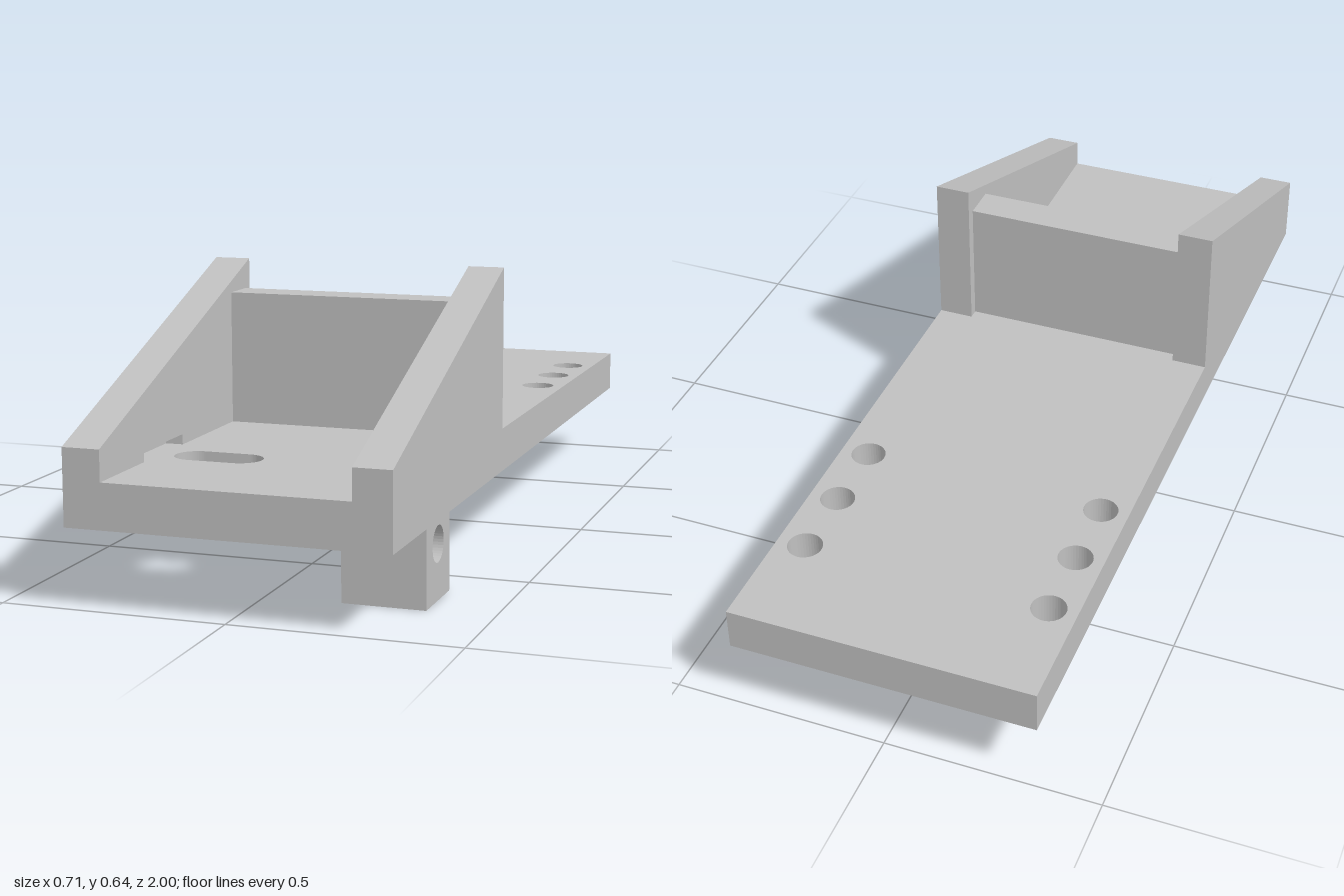
import * as THREE from 'three';

const grey = new THREE.MeshStandardMaterial({ color: 0xc0c0c0 });
grey.name = 'light grey';

const HALF = 0.354, INNER = 0.27;        // outer and inner half widths
const BASE = 0.172, FLOOR = 0.272;       // underside and top of the plate

function polygon(points) {
  return new THREE.Shape(points.map(([a, b]) => new THREE.Vector2(a, b)));
}

function roundHole(a, b, r) {
  return new THREE.Path().absarc(a, b, r, 0, Math.PI * 2, true);
}

function extrude(shape, depth) {
  return new THREE.ExtrudeGeometry(shape, { depth, bevelEnabled: false, curveSegments: 20 });
}

// Extrudes a (z, y) profile from x0 to x1
function acrossX(shape, x0, x1) {
  return extrude(shape, x1 - x0).rotateY(-Math.PI / 2).translate(x1, 0, 0);
}

function boxBetween(x0, x1, y0, y1, z0, z1) {
  return new THREE.BoxGeometry(x1 - x0, y1 - y0, z1 - z0)
    .translate((x0 + x1) / 2, (y0 + y1) / 2, (z0 + z1) / 2);
}

export function createModel() {
  const model = new THREE.Group();
  model.name = 'mountingBracket';
  const add = (name, geometry, parent = model) => {
    const mesh = new THREE.Mesh(geometry, grey);
    mesh.name = name;
    parent.add(mesh);
  };

  // Base plate with six screw holes and a slot (shape y is -z)
  const plate = polygon([[-HALF, -1], [HALF, -1], [HALF, 1], [-HALF, 1]]);
  for (const x of [-0.288, 0.288])
    for (const z of [-0.75, -0.58, -0.41]) plate.holes.push(roundHole(x, -z, 0.04));
  const slot = new THREE.Path();
  slot.absarc(-0.192, -0.692, 0.048, Math.PI / 2, Math.PI * 1.5, false);
  slot.absarc(-0.088, -0.692, 0.048, -Math.PI / 2, Math.PI / 2, false);
  slot.closePath();
  plate.holes.push(slot);
  add('basePlate', extrude(plate, FLOOR - BASE).rotateX(-Math.PI / 2).translate(0, BASE, 0));

  // Sloping side walls; the right one has a low recess on its inner face
  const slope = [[1, 0.34], [0.19, 0.645], [0.19, FLOOR]];
  const wall = polygon([...slope, [1, FLOOR]]);
  const recessed = polygon([...slope, [0.59, FLOOR], [0.59, 0.295],
    [0.79, 0.295], [0.79, FLOOR], [1, FLOOR]]);
  add('leftWall', acrossX(wall, INNER, HALF));
  const rightWall = new THREE.Group();
  rightWall.name = 'rightWall';
  model.add(rightWall);
  add('rightWallOuter', acrossX(wall, -HALF, -0.31), rightWall);
  add('rightWallInner', acrossX(recessed, -0.31, -INNER), rightWall);

  // Upright stop between the walls
  add('crossWall', boxBetween(-INNER, INNER, FLOOR, 0.577, 0.215, 0.302));

  // Lug underneath: drilled cheeks around a pocket open at the bottom
  const lug = new THREE.Group();
  lug.name = 'lug';
  model.add(lug);
  const z0 = 0.615, z1 = 0.78;
  const cheek = polygon([[z0, 0], [z1, 0], [z1, BASE], [z0, BASE]]);
  cheek.holes.push(roundHole(0.698, 0.122, 0.04));
  add('lugInnerCheek', acrossX(cheek, 0.169, 0.235), lug);
  add('lugOuterCheek', acrossX(cheek, 0.295, HALF), lug);
  add('lugBackWeb', boxBetween(0.235, 0.295, 0, BASE, z0, 0.638), lug);
  add('lugFrontWeb', boxBetween(0.235, 0.295, 0, BASE, 0.752, z1), lug);

  return model;
}
